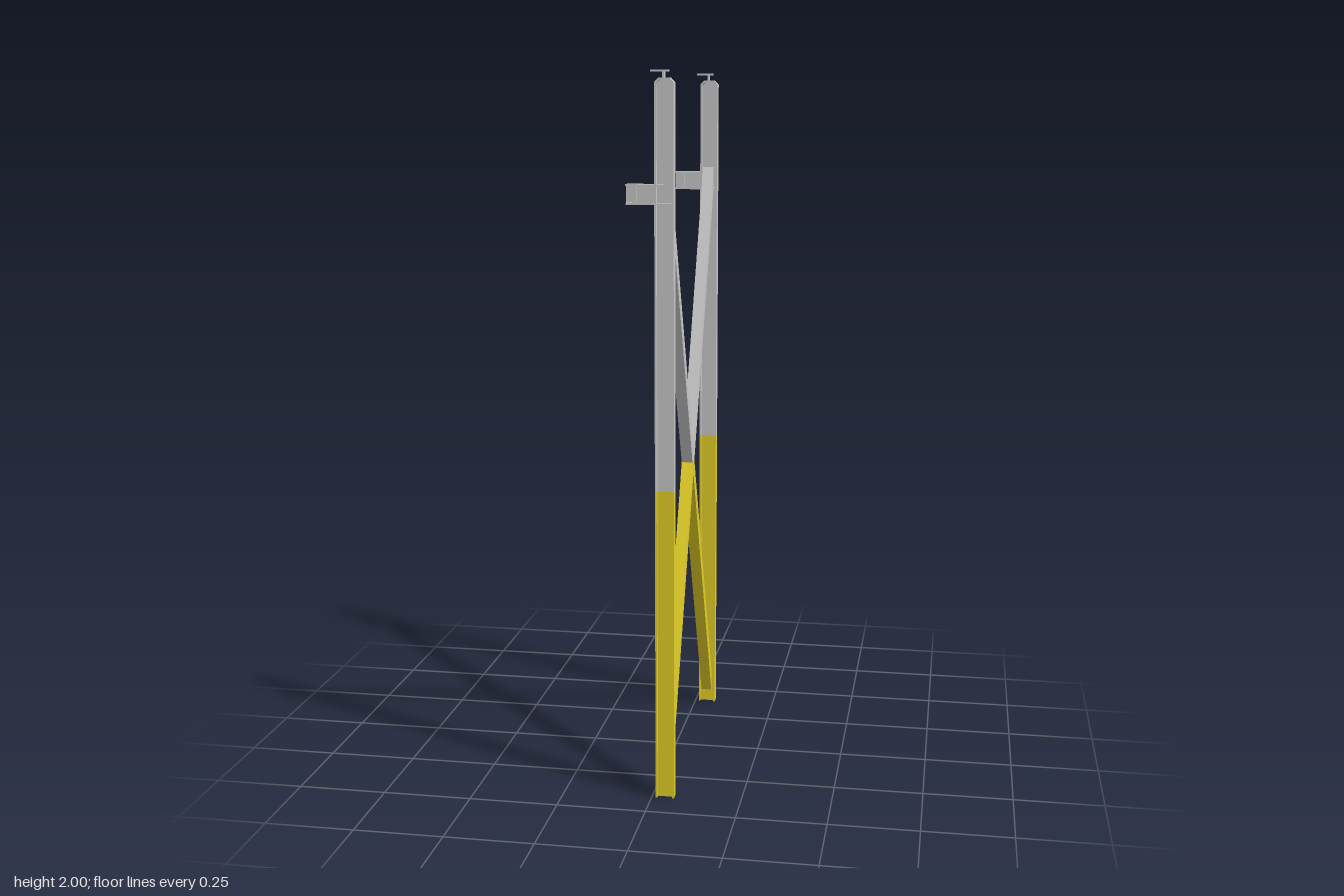
import * as THREE from 'three';

const grey = new THREE.MeshStandardMaterial({ color: 0xcccccc, flatShading: true });
const yellow = new THREE.MeshStandardMaterial({ color: 0xe6d228, flatShading: true });

const X0 = 0.011, X1 = 0.063;   // column depth in x
const W = 0.028, T = 0.005;     // flange width and plate thickness
const SPLIT = 0.88;             // height where the paint changes
const COL_Z = 0.389;

function box(name, parent, mat, x0, x1, y0, y1, depth) {
  const mesh = new THREE.Mesh(new THREE.BoxGeometry(x1 - x0, y1 - y0, depth), mat);
  mesh.position.set((x0 + x1) / 2, (y0 + y1) / 2, 0);
  mesh.name = name;
  parent.add(mesh);
}

// Extrude an outline, centred on its depth
function extrude(points, depth) {
  const shape = new THREE.Shape(points.map(([x, y]) => new THREE.Vector2(x, y)));
  const geo = new THREE.ExtrudeGeometry(shape, { depth, bevelEnabled: false });
  return geo.translate(0, 0, -depth / 2);
}

function createColumn(name) {
  const g = new THREE.Group();
  g.name = name;
  const mid = (X0 + X1) / 2, top = 1.98, c = 0.012;

  // Painted lower H-section
  box('lowerFlangeRight', g, yellow, X0, X0 + T, 0, SPLIT, W);
  box('lowerFlangeLeft', g, yellow, X1 - T, X1, 0, SPLIT, W);
  box('lowerWeb', g, yellow, X0 + T, X1 - T, 0, SPLIT, T);

  // Upper flanges joined by a chamfered top plate
  const arch = (x, y, k) => [[x, SPLIT], [x, y - k], [x + k, y],
    [2 * mid - x - k, y], [2 * mid - x, y - k], [2 * mid - x, SPLIT]];
  const outline = [...arch(X0, top, c), ...arch(X0 + T, top - T, c - 0.002).reverse()];
  const flanges = new THREE.Mesh(extrude(outline, W), grey);
  flanges.name = 'upperFlanges';
  g.add(flanges);
  const web = new THREE.Mesh(extrude(arch(X0 + T, top - T, c - 0.002), T), grey);
  web.name = 'upperWeb';
  g.add(web);

  // Top seat: plate on a short stem
  box('seatStem', g, grey, 0.032, 0.037, top, 1.996, W - 0.005);
  box('seatPlate', g, grey, 0, 0.047, 1.995, 2, W - 0.003);

  // Side bracket: short I-beam with a stiffener, continued by plates in the column
  const y0 = 1.652, y1 = 1.706;
  box('bracketTopFlange', g, grey, -0.066, X0, y1 - T, y1, W);
  box('bracketBottomFlange', g, grey, -0.066, X0, y0, y0 + T, W);
  box('bracketWeb', g, grey, -0.066, X0, y0 + T, y1 - T, T);
  box('bracketStiffener', g, grey, -0.042, -0.038, y0 + T, y1 - T, W - 0.002);
  for (const y of [y0, y1 - T]) box('columnStiffener', g, grey, X0 + T, X1 - T, y, y + T, W - 0.001);
  return g;
}

export function createModel() {
  const model = new THREE.Group();
  model.name = 'bracedFrame';
  for (const s of [1, -1]) {
    const column = createColumn(s > 0 ? 'frontColumn' : 'backColumn');
    column.position.z = s * COL_Z;
    model.add(column);
  }

  // Cross bracing: grey V above, yellow inverted V below
  const end = COL_Z - W / 2, h = 0.037, rise = 0.803, notch = h * end / rise;
  for (const [name, mat, s] of [['upperBrace', grey, 1], ['lowerBrace', yellow, -1]]) {
    const half = [[0, h], [end, rise + h], [end, rise - h], [notch, 0]];
    const mirrored = half.slice(1).reverse().map(([z, y]) => [-z, y]);
    const points = [...half, ...mirrored].map(([z, y]) => [z, SPLIT + s * y]);
    const brace = new THREE.Mesh(extrude(points, 0.032), mat);
    brace.rotation.y = -Math.PI / 2;
    brace.position.x = 0.036;
    brace.name = name;
    model.add(brace);
  }
  return model;
}
